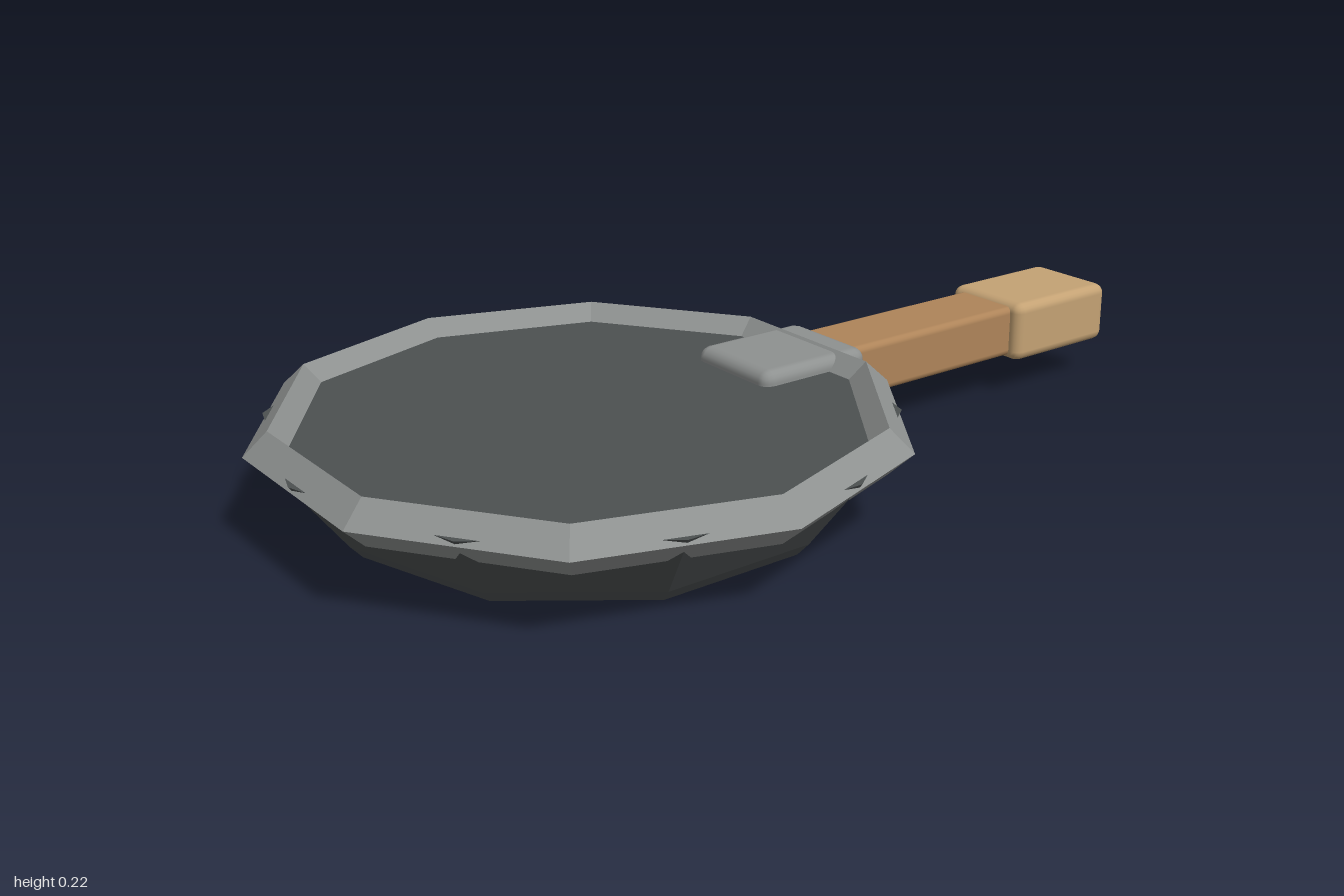
import * as THREE from 'three';
import { RoundedBoxGeometry } from 'three/addons/geometries/RoundedBoxGeometry.js';

const SIDES = 10;

function mesh(name, geometry, color, flatShading = false) {
  const m = new THREE.Mesh(geometry, new THREE.MeshStandardMaterial({ color, flatShading }));
  m.name = name;
  return m;
}

// Ten-sided turned part from [radius, height] pairs, bottom to top
function turned(name, profile, color) {
  const points = profile.map(([r, y]) => new THREE.Vector2(r, y));
  return mesh(name, new THREE.LatheGeometry(points, SIDES), color, true);
}

// Soft-edged box spanning zFront..zBack and yLow..yHigh, centred on x
function softBox(name, width, yLow, yHigh, zBack, zFront, radius, color) {
  const m = mesh(name, new RoundedBoxGeometry(width, yHigh - yLow, zFront - zBack, 2, radius), color);
  m.position.set(0, (yLow + yHigh) / 2, (zBack + zFront) / 2);
  return m;
}

export function createModel() {
  const model = new THREE.Group();
  model.name = 'fryingPan';

  // Pan: slightly shortened from front to back
  const pan = new THREE.Group();
  pan.name = 'pan';
  pan.position.z = 0.387;
  pan.scale.z = 0.963;

  // Bowl body with a bevelled foot and a flat cooking surface
  pan.add(turned('bowl', [
    [0, 0.006], [0.47, 0.006], [0.5, 0.015], [0.525, 0.042], [0.635, 0.187], [0, 0.187],
  ], 0x4c5051));

  // Base plate under the bowl
  pan.add(turned('basePlate', [[0, 0], [0.458, 0], [0.458, 0.01]], 0x3e5150));

  // Diamond-section rim, turned half a side against the bowl
  const rim = turned('rim', [
    [0.565, 0.176], [0.615, 0.13], [0.665, 0.176], [0.615, 0.222], [0.565, 0.176],
  ], 0x8e9190);
  rim.geometry.rotateY(Math.PI / SIDES);
  pan.add(rim);
  model.add(pan);

  // Handle: bracket over the rim, shaft and thick grip end
  model.add(softBox('handleBracket', 0.234, 0.083, 0.217, -0.247, 0.027, 0.025, 0x8e9190));
  model.add(softBox('handleShaft', 0.164, 0.092, 0.207, -0.76, -0.2, 0.015, 0xae8459));
  model.add(softBox('gripEnd', 0.216, 0.082, 0.217, -1, -0.708, 0.022, 0xc4a274));

  return model;
}
